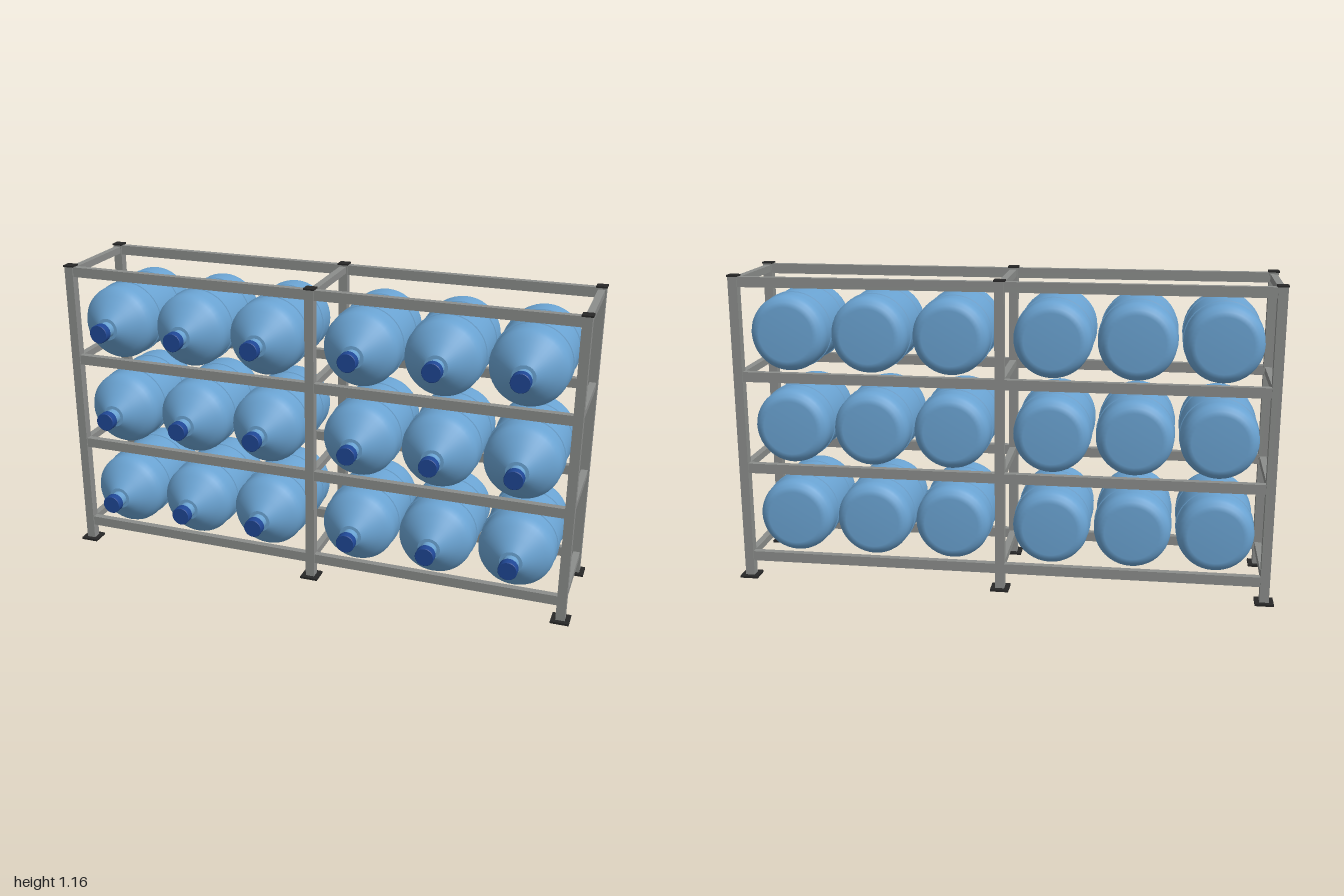
import * as THREE from 'three';

const material = (name, color) => {
  const m = new THREE.MeshStandardMaterial({ color });
  m.name = name;
  return m;
};

export function createModel() {
  const steel = material('grey steel', 0x8b8d8b);
  const rubber = material('black rubber', 0x272727);
  const plastic = material('blue plastic', 0x6aa3d2);
  const capBlue = material('dark blue cap', 0x1f4795);

  const model = new THREE.Group();
  model.name = 'bottleRack';

  const postX = [-0.966, 0, 0.966];
  const postZ = [0.135, -0.241];
  const rowY = [0.243, 0.593, 0.943];
  const railY = [0.084, 0.434, 0.784, 1.133];
  const bottleX = [-0.783, -0.483, -0.183, 0.183, 0.483, 0.783];

  const box = (parent, name, mat, size, pos) => {
    const mesh = new THREE.Mesh(new THREE.BoxGeometry(...size), mat);
    mesh.name = name;
    mesh.position.set(...pos);
    parent.add(mesh);
  };

  // Frame: posts with feet and end caps
  const frame = new THREE.Group();
  frame.name = 'frame';
  model.add(frame);
  for (const x of postX) {
    for (const z of postZ) {
      box(frame, 'post', steel, [0.034, 1.148, 0.034], [x, 0.579, z]);
      box(frame, 'foot', rubber, [0.068, 0.008, 0.068], [x, 0.004, z]);
      box(frame, 'postCap', rubber, [0.04, 0.006, 0.04], [x, 1.155, z]);
    }
  }

  // Long rails front and back, cross rails at each post pair
  const midZ = (postZ[0] + postZ[1]) / 2;
  const depth = postZ[0] - postZ[1];
  for (const y of railY) {
    for (const z of postZ) box(frame, 'longRail', steel, [1.932, 0.037, 0.025], [0, y, z]);
    for (const x of postX) box(frame, 'crossRail', steel, [0.025, 0.026, depth], [x, y, midZ]);
  }

  // Profiles are [radius, z]; a repeated point keeps a sharp edge
  const lathe = (points) => {
    const g = new THREE.LatheGeometry(points.map(([r, z]) => new THREE.Vector2(r, z)), 40);
    return g.rotateX(Math.PI / 2);
  };
  const ring = (r0, r1, z0, z1) => [
    [r0, z0], [r1, z0 + 0.002], [r1, z0 + 0.002], [r1, z1 - 0.002], [r1, z1 - 0.002], [r0, z1],
  ];

  const bodyGeo = lathe([
    [0, -0.245], [0.1, -0.245], [0.118, -0.239], [0.131, -0.226], [0.137, -0.214], [0.14, -0.2],
    [0.14, -0.19], [0.14, 0.09], [0.14, 0.105], [0.137, 0.12], [0.129, 0.135], [0.114, 0.152],
    [0.08, 0.181], [0.042, 0.212], [0.042, 0.212], [0.03, 0.213], [0.03, 0.213], [0.03, 0.25],
  ]);
  const bandGeos = [[-0.14, -0.117], [0.026, 0.048]].map(([a, b]) => lathe(ring(0.139, 0.1435, a, b)));
  const capGeo = lathe([
    [0.029, 0.248], [0.035, 0.248], [0.035, 0.248], [0.035, 0.276], [0.035, 0.276],
    [0.033, 0.278], [0.033, 0.278], [0, 0.278],
  ]);

  // Bottles lying on their sides with the necks to the front
  for (const y of rowY) {
    for (const x of bottleX) {
      const bottle = new THREE.Group();
      bottle.name = 'bottle';
      bottle.position.set(x, y, 0);
      const add = (name, geo, mat) => {
        const mesh = new THREE.Mesh(geo, mat);
        mesh.name = name;
        bottle.add(mesh);
      };
      add('bottleBody', bodyGeo, plastic);
      bandGeos.forEach((g) => add('bottleBand', g, plastic));
      add('bottleCap', capGeo, capBlue);
      model.add(bottle);
    }
  }
  return model;
}
